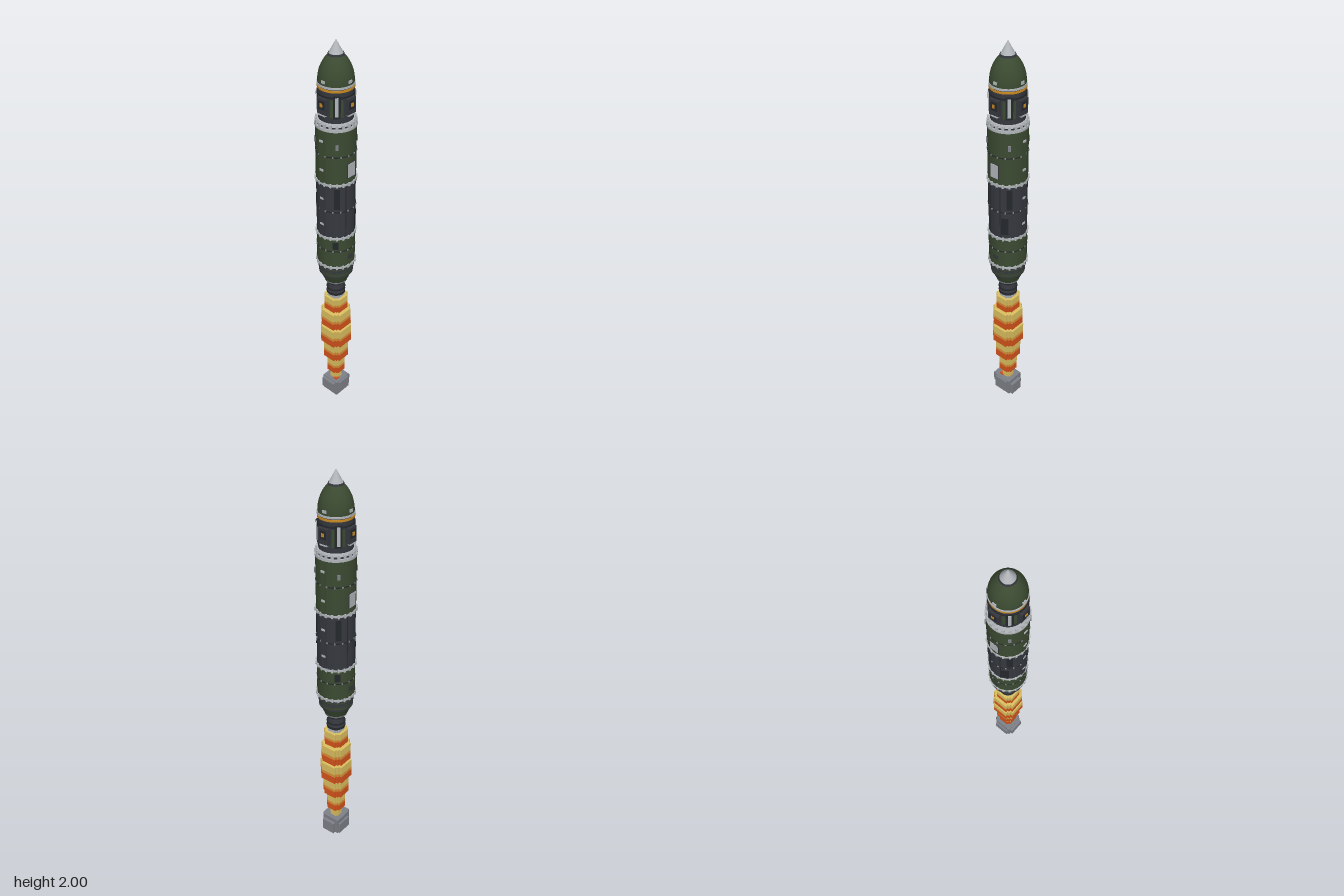
import * as THREE from 'three';

const mat = (name, color, flat = false) => {
  const m = new THREE.MeshStandardMaterial({ color, flatShading: flat });
  m.name = name;
  return m;
};

export function createModel() {
  const model = new THREE.Group();
  model.name = 'rocket';
  const green = mat('olive green', 0x3b4a31);
  const dark = mat('charcoal', 0x35383e);
  const panel = mat('dark panel', 0x25282c);
  const light = mat('light grey', 0xb2b6ba);
  const grey = mat('smoke grey', 0x7d8087);
  const gold = mat('gold', 0xc98a22);
  const yellow = mat('flame yellow', 0xdcc060);
  const amber = mat('flame amber', 0xdc9038);
  const orange = mat('flame orange', 0xd6541c);

  const add = (name, geo, material, parent = model) => {
    const mesh = new THREE.Mesh(geo, material);
    mesh.name = name;
    parent.add(mesh);
    return mesh;
  };
  // Round section from y0 (radius r0) up to y1 (radius r1)
  const section = (name, r0, y0, r1, y1, m) => {
    const mesh = add(name, new THREE.CylinderGeometry(r1, r0, y1 - y0, 40), m);
    mesh.position.y = (y0 + y1) / 2;
  };
  // Box standing on the hull; angle 0 faces +z and r is its middle radius
  const plate = (name, angle, r, y, w, h, d, m) => {
    const mesh = add(name, new THREE.BoxGeometry(w, h, d), m);
    mesh.position.set(Math.sin(angle) * r, y, Math.cos(angle) * r);
    mesh.rotation.y = angle;
  };
  // Curved skin panel wrapped round the hull
  const skin = (name, angle, width, r, y0, y1, m) => {
    const mesh = add(name, new THREE.CylinderGeometry(r, r, y1 - y0, 8, 1, true, angle - width / 2, width), m);
    mesh.position.y = (y0 + y1) / 2;
  };
  const bolts = (name, n, r, y, w, h, m) => {
    for (let i = 0; i < n; i++) plate(name, ((i + 0.5) / n) * Math.PI * 2, r, y, w, h, 0.007, m);
  };
  const quarter = Math.PI / 2;

  // Nose
  section('noseTip', 0.031, 1.945, 0.001, 2.0, light);
  section('noseCollar', 0.037, 1.934, 0.033, 1.946, dark);
  const ogive = [[0.078, 1.825], [0.077, 1.845], [0.073, 1.868], [0.066, 1.89], [0.055, 1.912], [0.045, 1.927], [0.034, 1.94]];
  const curve = new THREE.SplineCurve(ogive.map(([r, y]) => new THREE.Vector2(r, y)));
  add('noseCone', new THREE.LatheGeometry(curve.getPoints(18), 40), green);
  section('noseRing', 0.081, 1.817, 0.081, 1.826, light);
  section('goldBand', 0.08, 1.803, 0.08, 1.813, gold);
  section('noseBase', 0.077, 1.795, 0.077, 1.826, dark);

  // Guidance bay with thruster pods and diagonal rails
  section('guidanceBay', 0.076, 1.66, 0.076, 1.8, dark);
  section('guidanceBayRing', 0.079, 1.775, 0.079, 1.783, panel);
  for (let i = 0; i < 4; i++) {
    const a = i * quarter, b = a + quarter / 2;
    plate('noseFitting', a, 0.077, 1.842, 0.018, 0.012, 0.008, light);
    plate('thrusterPod', a, 0.079, 1.738, 0.05, 0.07, 0.02, dark);
    plate('podFace', a, 0.0895, 1.745, 0.034, 0.038, 0.003, panel);
    plate('podLamp', a, 0.0915, 1.745, 0.014, 0.016, 0.003, gold);
    plate('podStep', a, 0.083, 1.699, 0.038, 0.006, 0.014, light);
    plate('podRail', b, 0.077, 1.74, 0.014, 0.085, 0.014, light);
    plate('railBase', b, 0.075, 1.738, 0.032, 0.1, 0.01, panel);
    for (const s of [-1, 1]) skin('greenBayPanel', a + s * 0.52, 0.22, 0.0768, 1.69, 1.77, green);
  }

  // Interstage rings
  section('upperFlange', 0.088, 1.652, 0.084, 1.664, light);
  section('interstage', 0.084, 1.64, 0.084, 1.655, dark);
  section('lowerFlange', 0.093, 1.63, 0.093, 1.642, light);
  bolts('interstageLug', 20, 0.088, 1.648, 0.012, 0.026, light);

  // Main hull
  section('upperTank', 0.09, 1.37, 0.09, 1.63, green);
  section('midSection', 0.089, 1.085, 0.089, 1.37, dark);
  section('lowerTank', 0.09, 0.92, 0.09, 1.085, green);
  for (const y of [1.37, 1.085, 0.918]) {
    section('tankRing', 0.0935, y - 0.005, 0.0935, y + 0.005, light);
    bolts('ringClamp', 20, 0.0925, y, 0.009, 0.018, light);
  }
  for (const y of [1.51, 1.23, 1.012]) {
    section('seamRing', 0.0912, y - 0.0025, 0.0912, y + 0.0025, panel);
    bolts('seamStud', 16, 0.0895, y, 0.007, 0.007, grey);
  }

  // Hatches front and back, side raceways with clips
  for (const a of [0, Math.PI]) {
    plate('hatchFrame', a, 0.0875, 1.437, 0.048, 0.073, 0.006, dark);
    plate('hatch', a, 0.0895, 1.437, 0.042, 0.067, 0.006, light);
    for (const s of [-1, 1]) skin('midRib', a + s * 0.32, 0.05, 0.0915, 1.092, 1.363, panel);
    skin('servicePanel', a + 0.55, 0.4, 0.0912, 1.11, 1.2, panel);
    skin('lowerPanel', a - 0.85, 0.3, 0.0912, 1.025, 1.065, panel);
    plate('lowerHatch', a, 0.0885, 0.968, 0.03, 0.025, 0.005, dark);
    const side = a + quarter;
    plate('raceway', side, 0.0885, 1.36, 0.028, 0.53, 0.007, green);
    plate('midRaceway', side, 0.0895, 1.228, 0.03, 0.27, 0.007, dark);
    for (const y of [1.58, 1.44, 1.295, 1.157]) plate('racewayClip', side, 0.0925, y, 0.02, 0.01, 0.006, light);
  }
  for (let i = 0; i < 4; i++) {
    const a = quarter * (i + 0.5);
    plate('sensorPlate', a, 0.09, 1.56, 0.014, 0.024, 0.01, grey);
    skin('midPanel', a, 0.3, 0.0905, 1.245, 1.35, panel);
  }

  // Stepped tail and engine
  section('tailStepUpper', 0.085, 0.885, 0.087, 0.915, dark);
  section('tailRingUpper', 0.086, 0.893, 0.086, 0.9, green);
  section('tailStepLower', 0.08, 0.85, 0.083, 0.887, green);
  section('tailRingMiddle', 0.084, 0.872, 0.084, 0.879, dark);
  section('tailRingLower', 0.082, 0.848, 0.082, 0.856, dark);
  bolts('tailLug', 16, 0.083, 0.888, 0.01, 0.012, dark);
  section('tailCone', 0.056, 0.797, 0.08, 0.85, green);
  section('tailRim', 0.055, 0.79, 0.058, 0.799, grey);
  section('engineNeck', 0.036, 0.765, 0.03, 0.792, dark);
  section('engineCollar', 0.039, 0.77, 0.039, 0.778, panel);
  section('engineBell', 0.046, 0.722, 0.035, 0.766, dark);
  section('bellBand', 0.046, 0.738, 0.046, 0.745, panel);
  section('bellLip', 0.046, 0.71, 0.046, 0.724, panel);

  // Stepped exhaust blocks, each a cluster of crossed boxes in colour bands
  const block = (name, w, y0, y1, m) => {
    for (const [kx, kz] of [[1, 0.63], [0.8, 0.8], [0.63, 1]]) {
      const mesh = add(name, new THREE.BoxGeometry(w * 2 * kx, y1 - y0, w * 2 * kz), m);
      mesh.position.y = (y0 + y1) / 2;
    }
  };
  block('exhaustCore', 0.036, 0.685, 0.715, light);
  const puffs = [[0.05, 0.608, 0.687], [0.063, 0.503, 0.6], [0.067, 0.39, 0.492], [0.055, 0.28, 0.38], [0.04, 0.173, 0.265]];
  for (const [w, y0, y1] of puffs) {
    const h = y1 - y0;
    block('flameTop', w, y0 + h * 0.56, y1, yellow);
    block('flameMiddle', w, y0 + h * 0.4, y0 + h * 0.56, amber);
    block('flameBottom', w, y0, y0 + h * 0.4, orange);
    block('flameLink', w * 0.55, y0 - 0.014, y0, amber);
  }
  block('flameTail', 0.025, 0.11, 0.158, yellow);

  // Smoke puff at the base of the exhaust
  const smoke = [
    [0, 0.075, 0, 0.096, 0.09, 0.096], [-0.012, 0.088, 0, 0.106, 0.056, 0.08], [0.014, 0.066, 0.004, 0.102, 0.066, 0.07],
    [0, 0.088, 0.01, 0.074, 0.058, 0.096], [0.002, 0.064, -0.012, 0.08, 0.06, 0.092],
  ];
  for (const [x, y, z, w, h, d] of smoke) add('smokePuff', new THREE.BoxGeometry(w, h, d), grey).position.set(x, y, z);
  add('lowerSpark', new THREE.BoxGeometry(0.018, 0.036, 0.018), orange).position.y = 0.018;
  add('upperSpark', new THREE.BoxGeometry(0.02, 0.012, 0.02), orange).position.set(-0.02, 0.122, 0.02);
  return model;
}
